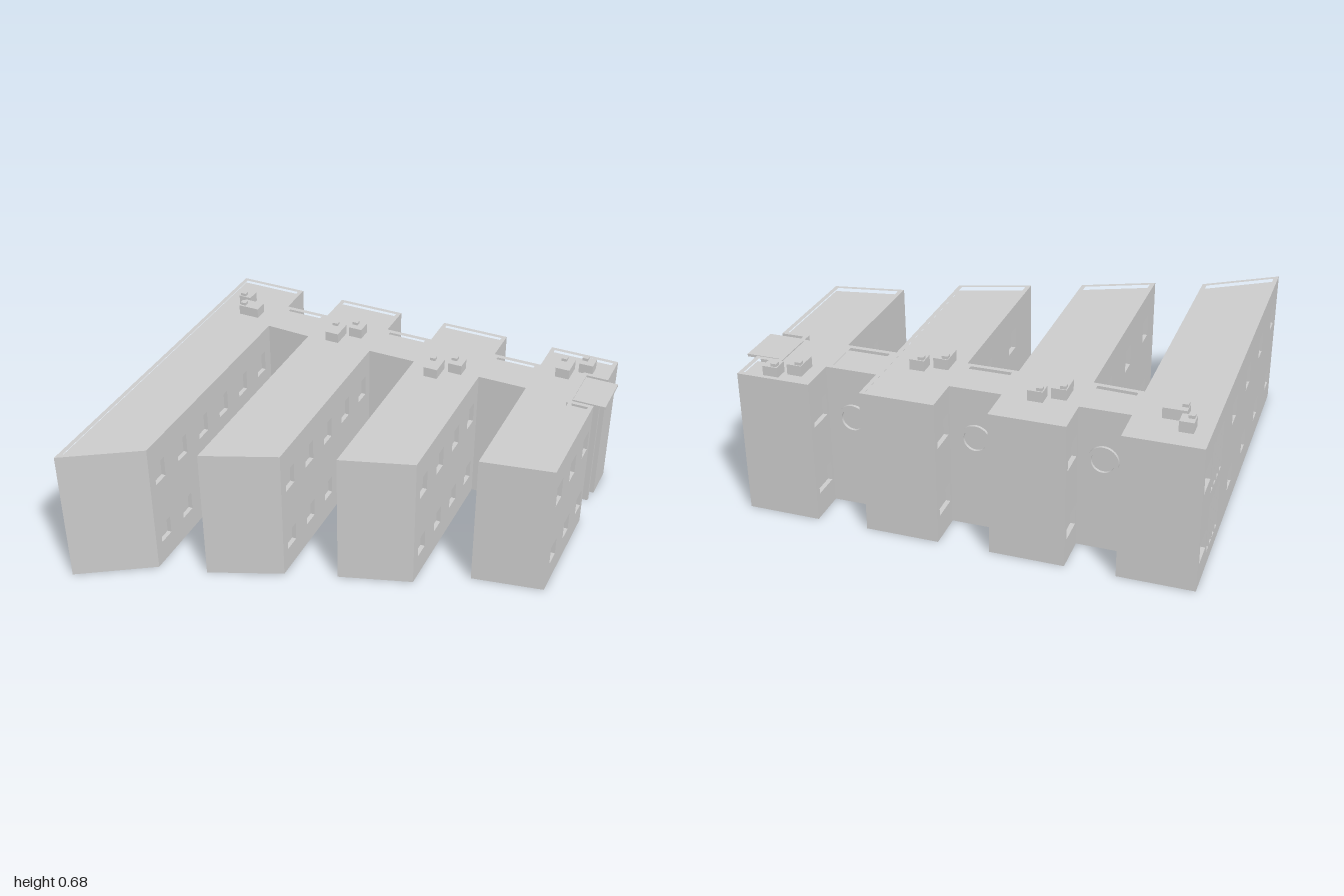
import * as THREE from 'three';

const BACK = -0.86, ROOF = 0.62, TOP = 0.645, T = 0.02;
const LOW = [0.11, 0.2], HIGH = [0.43, 0.53];
const NOTCH = { x: 0.85, z0: -0.69, z1: -0.46 };
const material = new THREE.MeshStandardMaterial({ color: 0xcccccc });

function add(parent, name, geometry) {
  const mesh = new THREE.Mesh(geometry, material);
  mesh.name = name;
  parent.add(mesh);
  return mesh;
}

function box(parent, name, x0, x1, y0, y1, z0, z1) {
  const mesh = add(parent, name, new THREE.BoxGeometry(x1 - x0, y1 - y0, z1 - z0));
  mesh.position.set((x0 + x1) / 2, (y0 + y1) / 2, (z0 + z1) / 2);
}

// Moves every edge of a closed [x, z] outline inwards by d
function inset(points, d) {
  const v = points.map(([x, z]) => new THREE.Vector2(x, z));
  const sign = Math.sign(THREE.ShapeUtils.area(v));
  return v.map((p, i) => {
    const a = p.clone().sub(v[(i + v.length - 1) % v.length]).normalize();
    const b = v[(i + 1) % v.length].clone().sub(p).normalize();
    const na = new THREE.Vector2(-a.y, a.x), nb = new THREE.Vector2(-b.y, b.x);
    const k = (sign * d) / (1 + na.dot(nb));
    return [p.x + (na.x + nb.x) * k, p.y + (na.y + nb.y) * k];
  });
}

// Extrudes an [x, z] outline upwards from y0 to y1
function prism(points, y0, y1, hole) {
  const toPlan = (list) => list.map(([x, z]) => new THREE.Vector2(x, -z));
  const shape = new THREE.Shape(toPlan(points));
  if (hole) shape.holes.push(new THREE.Path(toPlan(hole)));
  return new THREE.ExtrudeGeometry(shape, { depth: y1 - y0, bevelEnabled: false })
    .rotateX(-Math.PI / 2).translate(0, y0, 0);
}

// Side wall of thickness T starting at x0, with openings [z0, z1, y0, y1]
function sideWall(x0, z0, z1, openings) {
  const rect = (Kind, a, b, c, d) => new Kind([
    new THREE.Vector2(-b, c), new THREE.Vector2(-a, c), new THREE.Vector2(-a, d), new THREE.Vector2(-b, d)]);
  const shape = rect(THREE.Shape, z0, z1, 0, ROOF);
  openings.forEach((o) => shape.holes.push(rect(THREE.Path, ...o)));
  return new THREE.ExtrudeGeometry(shape, { depth: T, bevelEnabled: false })
    .rotateY(Math.PI / 2).translate(x0, 0, 0);
}

// Cuts the front end of a wall along the slanted front line
function mitre(geometry, frontEnd, lineZ) {
  const p = geometry.attributes.position;
  for (let i = 0; i < p.count; i++) {
    if (p.getZ(i) > frontEnd - 1e-4) p.setZ(i, lineZ(p.getX(i)));
  }
  geometry.computeVertexNormals();
  return geometry;
}

const pair = (z, w) => [LOW, HIGH].map((y) => [z - w / 2, z + w / 2, ...y]);

function slots(rows) {
  const list = [];
  for (const [y0, y1] of rows) {
    for (let i = 0; i < 4; i++) list.push([-0.68 + i * 0.055, -0.64 + i * 0.055, y0, y1]);
  }
  return list;
}

function wing(parent, name, x0, x1, zl, zr, { notch = false, tallSlots = false }) {
  const g = new THREE.Group();
  g.name = name;
  parent.add(g);
  const lineZ = (x) => zl + ((zr - zl) * (x - x0)) / (x1 - x0);
  const outline = (d) => {
    const a = x0 + d, b = x1 - d, n = NOTCH.x - d;
    const cut = notch ? [[b, NOTCH.z0], [n, NOTCH.z0], [n, NOTCH.z1], [b, NOTCH.z1]] : [];
    return [[a, BACK], [b, BACK], ...cut, [b, lineZ(b)], [a, lineZ(a)]];
  };
  add(g, 'core', prism(outline(T), 0, ROOF));
  add(g, 'parapet', prism(outline(0), ROOF, TOP, inset(outline(0), T)));

  // Left wall: rear windows, then widely spaced ones
  const left = pair(-0.77, 0.12);
  for (let z = -0.22; z < zl - 0.07; z += 0.32) left.push(...pair(z, 0.09));
  if (tallSlots) left.push(...slots([[0.07, 0.29], [0.35, 0.565]]));
  add(g, 'leftWall', mitre(sideWall(x0, BACK, zl, left), zl, lineZ));

  // Right wall: closely spaced windows in front of the connector
  const right = [];
  for (let z = -0.39; z < zr - 0.06; z += 0.19) right.push(...pair(z, 0.08));
  add(g, 'rightWall', mitre(sideWall(x1 - T, notch ? NOTCH.z1 : BACK, zr, right), zr, lineZ));
  if (notch) {
    add(g, 'rearRightWall', sideWall(x1 - T, BACK, NOTCH.z0, []));
    add(g, 'entranceWall', sideWall(NOTCH.x - T, NOTCH.z0, NOTCH.z1, slots([[0.355, 0.565]])));
  }
}

// Link between wings with a sunken roof and a round rear window
function connector(parent, x0, x1, skew) {
  const g = new THREE.Group();
  g.name = 'connector';
  parent.add(g);
  const outline = [[x0, -0.69], [x1, -0.69], [x1, -0.475], [x0, -0.475 - skew]];
  add(g, 'block', prism(outline, 0, ROOF));
  add(g, 'parapet', prism(outline, ROOF, TOP, inset(outline, 0.022)));
  const ring = new THREE.Shape().absarc(0, 0, 0.065, 0, Math.PI * 2);
  ring.holes.push(new THREE.Path().absarc(0, 0, 0.05, 0, Math.PI * 2));
  const frame = add(g, 'roundWindowFrame',
    new THREE.ExtrudeGeometry(ring, { depth: 0.015, bevelEnabled: false, curveSegments: 24 }));
  frame.position.set((x0 + x1) / 2, 0.42, -0.703);
}

// Rooftop box with a small vent on top
function roofUnit(parent, x, z, w, d, vx, vz) {
  box(parent, 'roofUnit', x - w / 2, x + w / 2, ROOF, 0.667, z - d / 2, z + d / 2);
  box(parent, 'roofVent', vx - 0.013, vx + 0.013, 0.667, 0.68, vz - 0.013, vz + 0.013);
}

export function createModel() {
  const model = new THREE.Group();
  model.name = 'building';

  // Four parallel wings, each shorter than the last
  wing(model, 'firstWing', -1, -0.675, 0.85, 0.645, { tallSlots: true });
  wing(model, 'secondWing', -0.46, -0.14, 0.59, 0.455, {});
  wing(model, 'thirdWing', 0.085, 0.405, 0.375, 0.27, {});
  wing(model, 'fourthWing', 0.63, 0.95, 0.14, 0.08, { notch: true });

  connector(model, -0.675, -0.46, 0.01);
  connector(model, -0.14, 0.085, 0);
  connector(model, 0.405, 0.63, 0);

  // Entrance canopy and its supporting fin
  box(model, 'canopy', 0.845, 1, 0.63, 0.642, -0.68, -0.475);
  box(model, 'canopyBeam', 0.85, 0.94, 0.61, 0.63, -0.68, -0.475);
  box(model, 'entranceFin', 0.85, 0.94, 0, 0.61, -0.64, -0.62);

  [
    [-0.895, -0.685, 0.06, 0.065, -0.907, -0.672],
    [-0.83, -0.6, 0.1, 0.065, -0.865, -0.59],
    [-0.355, -0.565, 0.065, 0.1, -0.37, -0.597],
    [-0.27, -0.63, 0.065, 0.065, -0.285, -0.643],
    [0.19, -0.465, 0.065, 0.1, 0.173, -0.497],
    [0.28, -0.525, 0.065, 0.065, 0.265, -0.538],
    [0.742, -0.71, 0.065, 0.1, 0.727, -0.742],
    [0.83, -0.772, 0.065, 0.065, 0.815, -0.785],
  ].forEach((unit) => roofUnit(model, ...unit));

  return model;
}
